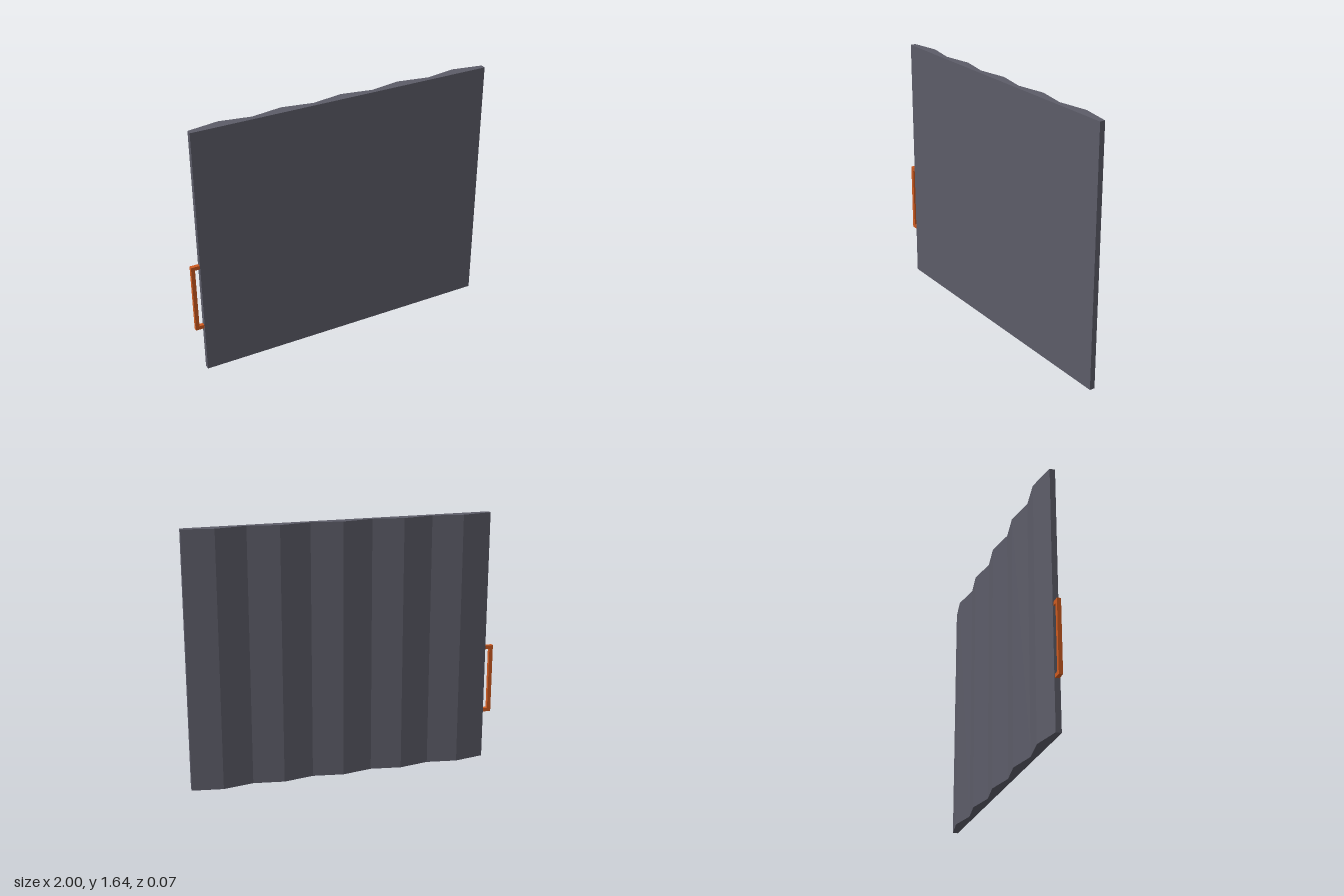
import * as THREE from 'three';

export function createModel() {
  const group = new THREE.Group();
  const slate = new THREE.MeshStandardMaterial({ color: 0x5c5c68 });
  slate.name = 'slate grey';
  const orange = new THREE.MeshStandardMaterial({ color: 0xcc5a20 });
  orange.name = 'burnt orange';

  // Panel: flat front, five shallow vertical ridges on the back
  const left = -0.945, right = 1, height = 1.64, depth = 0.034, ridges = 5;
  const step = (right - left) / (ridges * 2);
  const outline = new THREE.Shape();
  outline.moveTo(left, -depth);
  outline.lineTo(right, -depth);
  for (let i = ridges * 2; i >= 0; i--) {
    outline.lineTo(left + i * step, i % 2 ? depth : 0);
  }
  outline.closePath();
  const panelGeometry = new THREE.ExtrudeGeometry(outline, { depth: height, bevelEnabled: false });
  panelGeometry.rotateX(-Math.PI / 2); // shape y becomes -z, extrusion goes up
  const panel = new THREE.Mesh(panelGeometry, slate);
  panel.name = 'ridgedPanel';
  group.add(panel);

  // Handle: square bar held off the panel edge by two short arms
  const handle = new THREE.Group();
  handle.name = 'handle';
  const bar = 0.024, bottom = 0.31, top = 0.765, z = 0.016;
  const addBox = (name, w, h, x, y) => {
    const mesh = new THREE.Mesh(new THREE.BoxGeometry(w, h, bar), orange);
    mesh.name = name;
    mesh.position.set(x, y, z);
    handle.add(mesh);
  };
  addBox('handleGrip', bar, top - bottom, -1 + bar / 2, (top + bottom) / 2);
  const armLength = left - (-1 + bar);
  for (const [name, y] of [['upperArm', top - bar / 2], ['lowerArm', bottom + bar / 2]]) {
    addBox(name, armLength, bar, left - armLength / 2, y);
  }
  group.add(handle);

  return group;
}
